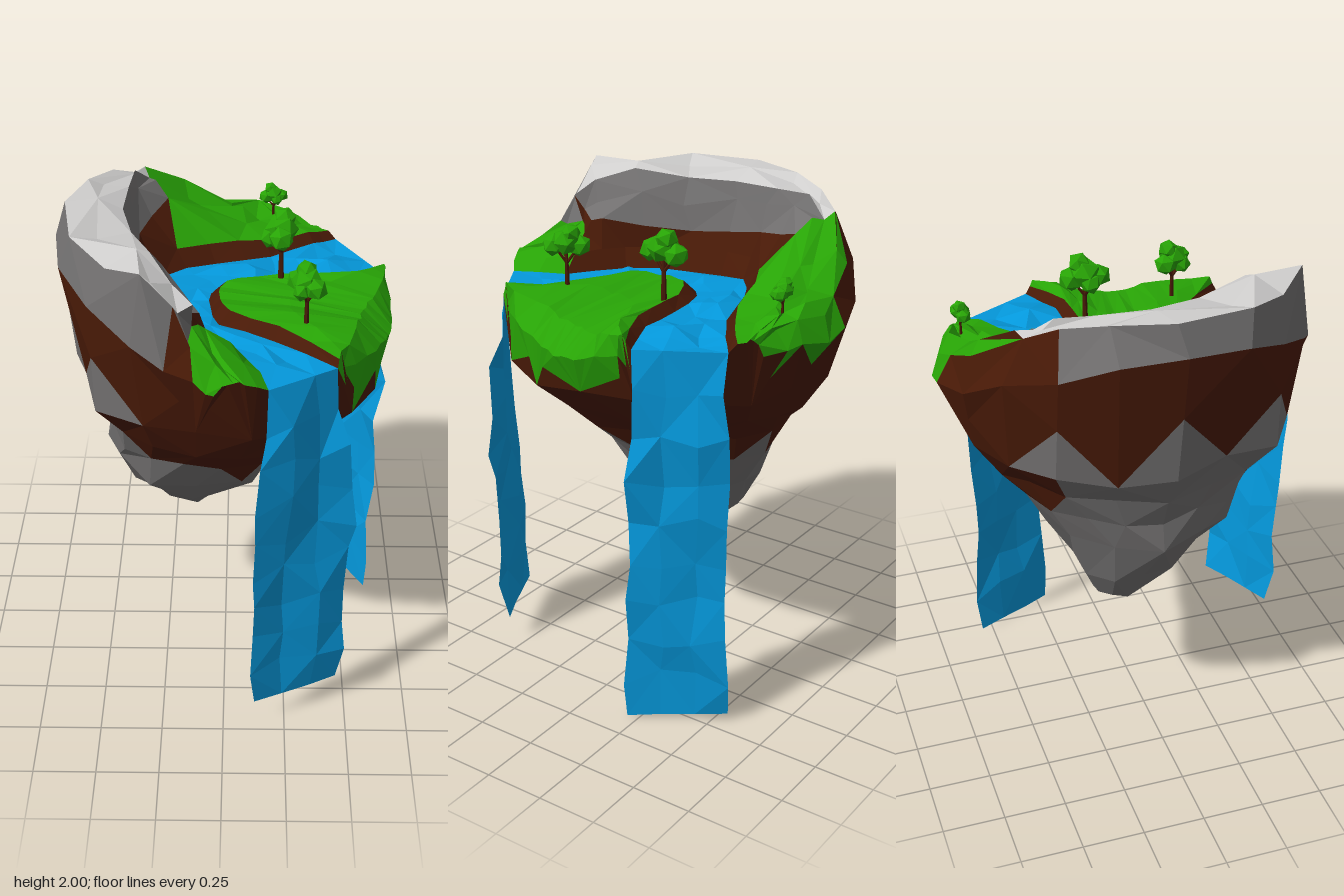
import * as THREE from 'three';

const mat = (name, color, side = THREE.FrontSide) => {
  const m = new THREE.MeshStandardMaterial({ color, side });
  m.name = name;
  return m;
};
const MATS = {
  soil: mat('soil brown', 0x491a07),
  grass: mat('grass green', 0x28a406),
  rock: mat('rock grey', 0x727070),
  peak: mat('pale peak grey', 0xcfcecd),
  water: mat('water blue', 0x0498db, THREE.DoubleSide),
};
const N = 16; // stations along the river

const noise = (n) => {
  const v = Math.sin(n * 127.1 + 11.7) * 43758.5453;
  return v - Math.floor(v) - 0.5;
};
const V = (x, y, z) => new THREE.Vector3(x, y, z);
const mix = (a, b, t) => a.clone().lerp(b, t);

// Roughens a row of points, leaving its ends in place and the height below 2
const roughen = (row, rough, seed) => row.map((p, j) => {
  if (j > 0 && j < N) {
    const s = seed * 97 + j * 3;
    p.add(V(noise(s), noise(s + 1) * 1.5, noise(s + 2)).multiplyScalar(rough));
  }
  p.y = Math.min(p.y, 2);
  return p;
});

// Smooth rail through a few points
function rail(points, rough, seed) {
  const curve = new THREE.CatmullRomCurve3(points.map((p) => V(...p)), false, 'centripetal');
  return roughen(Array.from({ length: N + 1 }, (_, j) => curve.getPoint(j / N)), rough, seed);
}

// Extra rail between two others, optionally lifted
const between = (a, b, t, lift, rough, seed) => roughen(a.map((p, j) => mix(p, b[j], t).add(V(0, lift, 0))), rough, seed);

// Faceted skin over rows of points; paint() picks a colour for each triangle
function skin(name, rows, paint, flip = false) {
  const buckets = {};
  rows.slice(0, -1).forEach((row, i) => {
    for (let j = 0; j < row.length - 1; j++) {
      const [a, b, c, d] = [row[j], row[j + 1], rows[i + 1][j], rows[i + 1][j + 1]];
      const tris = (i + j) % 2 ? [[a, c, b, true], [b, c, d, false]] : [[a, c, d, false], [a, d, b, true]];
      for (const [p, q, r, upper] of tris) {
        if (p.distanceTo(q) < 1e-5 || q.distanceTo(r) < 1e-5 || r.distanceTo(p) < 1e-5) continue;
        const mid = p.clone().add(q).add(r).divideScalar(3);
        const key = paint(i, ((j + 0.5) * 8) / N, mid, upper);
        (buckets[key] ??= []).push(...(flip ? [p, r, q] : [p, q, r]));
      }
    }
  });
  const group = new THREE.Group();
  group.name = name;
  for (const key in buckets) {
    const geo = new THREE.BufferGeometry().setFromPoints(buckets[key]);
    geo.computeVertexNormals();
    const mesh = new THREE.Mesh(geo, MATS[key]);
    mesh.name = `${name} ${key}`;
    group.add(mesh);
  }
  return group;
}

// Rails of the outer land, from the river's edge over the mountain to the rim
const shore = rail([[.46, 1.59, -.55], [.36, 1.6, -.475], [.18, 1.6, -.365], [-.04, 1.6, -.3], [-.25, 1.6, -.16],
  [-.22, 1.6, .07], [-.12, 1.6, .33], [.09, 1.6, .49], [.165, 1.59, .7]], 0.01, 1);
const bank = rail([[.43, 1.62, -.57], [.34, 1.64, -.5], [.16, 1.65, -.395], [-.07, 1.67, -.335], [-.3, 1.68, -.17],
  [-.27, 1.68, .08], [-.155, 1.67, .355], [.02, 1.67, .48], [.125, 1.62, .73]], 0.01, 2);
const foot = rail([[.4, 1.62, -.59], [.28, 1.66, -.55], [.09, 1.67, -.49], [-.25, 1.82, -.4], [-.34, 1.78, -.2],
  [-.3, 1.75, .12], [-.11, 1.79, .44], [-.06, 1.74, .51], [.08, 1.64, .75]], 0.025, 3);
const crestIn = rail([[.37, 1.62, -.6], [.23, 1.66, -.63], [0, 1.69, -.6], [-.3, 1.9, -.48], [-.41, 1.97, -.24],
  [-.37, 1.95, .18], [-.165, 1.96, .54], [-.09, 1.77, .57], [.04, 1.65, .755]], 0.05, 4);
const crestOut = rail([[.35, 1.6, -.61], [.2, 1.64, -.69], [-.05, 1.69, -.71], [-.36, 1.88, -.53], [-.56, 1.98, -.25],
  [-.55, 1.97, .28], [-.27, 1.97, .59], [-.1, 1.73, .66], [0, 1.64, .76]], 0.05, 5);
const rim = rail([[.33, 1.55, -.62], [.2, 1.57, -.715], [-.02, 1.58, -.765], [-.38, 1.72, -.6], [-.63, 1.86, -.23],
  [-.62, 1.86, .27], [-.34, 1.71, .615], [-.11, 1.63, .73], [-.03, 1.6, .76]], 0.02, 6);
const slope = between(foot, crestIn, 0.5, 0.01, 0.05, 13);
const crestMid = between(crestIn, crestOut, 0.5, 0, 0.09, 14);
// Rails of the meadow inside the river bend
const innerShore = rail([[.63, 1.59, -.24], [.43, 1.6, -.165], [.23, 1.6, -.16], [.02, 1.6, -.12], [-.06, 1.6, -.03],
  [-.055, 1.6, .1], [-.02, 1.6, .23], [.19, 1.6, .35], [.42, 1.59, .54]], 0.008, 7);
const innerBank = rail([[.635, 1.62, -.22], [.43, 1.64, -.125], [.23, 1.64, -.12], [.05, 1.64, -.08], [-.02, 1.64, -.01],
  [-.015, 1.64, .09], [.02, 1.64, .2], [.21, 1.64, .31], [.425, 1.62, .525]], 0.008, 8);
const innerRim = rail([[.645, 1.56, -.19], [.66, 1.54, -.1], [.66, 1.51, 0], [.655, 1.5, .06], [.645, 1.5, .11],
  [.63, 1.51, .18], [.6, 1.53, .25], [.54, 1.55, .38], [.44, 1.57, .5]], 0.01, 9);
const meadow1 = between(innerBank, innerRim, 0.42, 0.05, 0.012, 15);
const meadow2 = between(innerBank, innerRim, 0.84, 0.07, 0.012, 16);

const outerRows = [shore, bank, foot, slope, crestIn, crestMid, crestOut, rim];
const riverRows = [shore, between(shore, innerShore, 0.33, 0, 0.03, 17), between(shore, innerShore, 0.67, 0, 0.03, 18), innerShore];
const meadowRows = [innerShore, innerBank, meadow1, meadow2, innerRim];

function paintOuter(row, s, c) {
  if (s > 7) return 'grass';
  if (row === 0) return 'soil';
  if (s < 4 && c.x > -0.28 && c.z < -0.33) {
    return c.x < 0.03 && c.z < -0.74 - 0.45 * c.x ? 'soil' : 'grass';
  }
  if (row === 1 || s < 3) return 'soil';
  if (row < 4) return s < 6.6 ? 'rock' : 'soil';
  if (row < 6) return s > 6.4 ? 'rock' : s > 3.2 ? 'peak' : 'soil';
  return s > 3.5 && s < 6.6 ? 'rock' : 'soil';
}

function paintUnderside(row, s, c, upper) {
  if (c.x > 0.4 && c.z > -0.22 && c.z < 0.52) {
    if (row === 0 && (upper || (c.z > -0.18 && c.z < 0.44))) return 'grass';
    if (row === 1 && upper && c.z > -0.2 && c.z < 0.45) return 'grass';
  }
  if (row === 0 && upper && c.z < -0.6 && c.x > 0.04 && c.x < 0.26) return 'grass';
  if (c.y < 1 - 0.45 * c.x) return 'rock';
  if (c.x < -0.42 && c.y < 1.47 && (row > 1 || (row === 1 && !upper))) return 'rock';
  return c.x > 0 && c.y < 1.04 && Math.abs(c.z - 0.03) < 0.15 ? 'rock' : 'soil';
}

// Tapering shell that hangs from the complete rim
function underside() {
  const start = [...meadowRows.slice(0, -1).reverse(), ...riverRows.slice(1, -1).reverse(), ...outerRows];
  const end = [...outerRows.slice(0, -1).reverse(), ...riverRows.slice(1, -1), ...meadowRows.slice(0, -1)];
  const loop = [...rim, ...end.map((r) => r[N]), ...[...innerRim].reverse(), ...start.map((r) => r[0])];
  // y, centre x, centre z, radius x, radius z, sides
  const levels = [
    [1.35, 0, 0.01, 0.6, 0.655, 18], [1.2, -0.02, 0, 0.48, 0.565, 18], [1.09, -0.08, 0, 0.41, 0.45, 18],
    [0.95, -0.11, 0, 0.37, 0.38, 12], [0.78, -0.13, -0.05, 0.27, 0.23, 12], [0.63, -0.18, -0.09, 0.12, 0.12, 12],
  ];
  const rings = levels.map(([y, cx, cz, rx, rz, sides], k) => loop.map((p) => {
    const step = Math.round((Math.atan2(p.z / 0.765, p.x / 0.66) / (2 * Math.PI)) * sides + sides) % sides;
    const a = (step / sides) * 2 * Math.PI;
    const grow = 1 + noise(step * 7 + k * 41) * 0.12;
    return V(cx + rx * grow * Math.cos(a), y + noise(step * 3 + k * 59) * 0.06, cz + rz * grow * Math.sin(a));
  }));
  const shoulder = loop.map((p, j) => mix(p, rings[0][j], 0.48));
  const tip = loop.map(() => V(-0.12, 0.59, -0.02));
  return skin('island underside', [loop, shoulder, ...rings, tip], paintUnderside);
}

// Rippled sheet of water falling from one end of the river, bulging outward and sideways
function waterfall(name, j, left, right, out, bulge, spread) {
  const lip = riverRows.map((r) => r[j]);
  const rows = [lip];
  const across = right.clone().sub(left).setY(0).normalize();
  for (let i = 1; i <= 9; i++) {
    const t = i / 9;
    rows.push(lip.map((p, k) => {
      const q = mix(p, mix(left, right, k / 3), t);
      const s = j * 131 + i * 13 + k * 3;
      const ease = i === 9 ? 0.2 : 1;
      q.addScaledVector(out, bulge * Math.sin(Math.PI * Math.min(1, t * 0.8 + 0.15)) + noise(s) * 0.055 * ease);
      q.addScaledVector(across, (k / 3 - 0.6) * spread * Math.sin(Math.PI * t) + noise(s + 1) * 0.035 * ease);
      if (i < 9) q.y += noise(s + 2) * 0.07;
      return q;
    }));
  }
  return skin(name, rows, () => 'water');
}

// Little tree: trunk, branches and a cluster of leaf clumps
function tree(name, x, y, z, scale, turn) {
  const g = new THREE.Group();
  g.name = name;
  const limb = (label, from, to, r) => {
    const dir = to.clone().sub(from);
    const geo = new THREE.CylinderGeometry(r * 0.65, r, dir.length(), 6).toNonIndexed();
    geo.computeVertexNormals();
    const m = new THREE.Mesh(geo, MATS.soil);
    m.name = label;
    m.position.copy(mix(from, to, 0.5));
    m.quaternion.setFromUnitVectors(V(0, 1, 0), dir.normalize());
    g.add(m);
  };
  limb('trunk', V(0, -0.02, 0), V(0, 0.12, 0), 0.012);
  const clumps = [[0, 0.2, 0, 0.066], [0.025, 0.185, 0.05, 0.05], [-0.025, 0.18, -0.05, 0.052],
    [0, 0.235, -0.02, 0.048], [-0.03, 0.17, 0.03, 0.042]];
  clumps.forEach(([cx, cy, cz, r], i) => {
    if (i !== 3) limb('branch', V(0, 0.105, 0), V(cx, cy, cz), 0.007);
    const leaf = new THREE.Mesh(new THREE.IcosahedronGeometry(r, 0), MATS.grass);
    leaf.name = 'leaf clump';
    leaf.position.set(cx, cy, cz);
    leaf.rotation.set(i * 1.3, i * 0.7, i * 2.1);
    leaf.scale.y = 0.9;
    g.add(leaf);
  });
  g.position.set(x, y, z);
  g.rotation.y = turn;
  g.scale.setScalar(scale);
  return g;
}

export function createModel() {
  const model = new THREE.Group();
  model.name = 'floating island';
  model.add(
    skin('mountain and hills', outerRows, paintOuter),
    skin('meadow', meadowRows, (row) => (row === 0 ? 'soil' : 'grass'), true),
    skin('river', riverRows, () => 'water', true),
    underside(),
    waterfall('front waterfall', N, V(0.12, 0.12, 0.71), V(0.46, 0.12, 0.55), V(0.5, 0, 0.86), 0.04, 0.09),
    waterfall('back waterfall', 0, V(0.42, 0.03, -0.55), V(0.63, 0, -0.2), V(0.86, 0, -0.5), 0.025, 0),
    tree('front tree', 0.31, 1.64, 0.3, 0.92, 0.2),
    tree('middle tree', 0.22, 1.64, -0.1, 1.03, -0.5),
    tree('back tree', 0.195, 1.65, -0.615, 0.6, 1.3),
  );
  return model;
}
